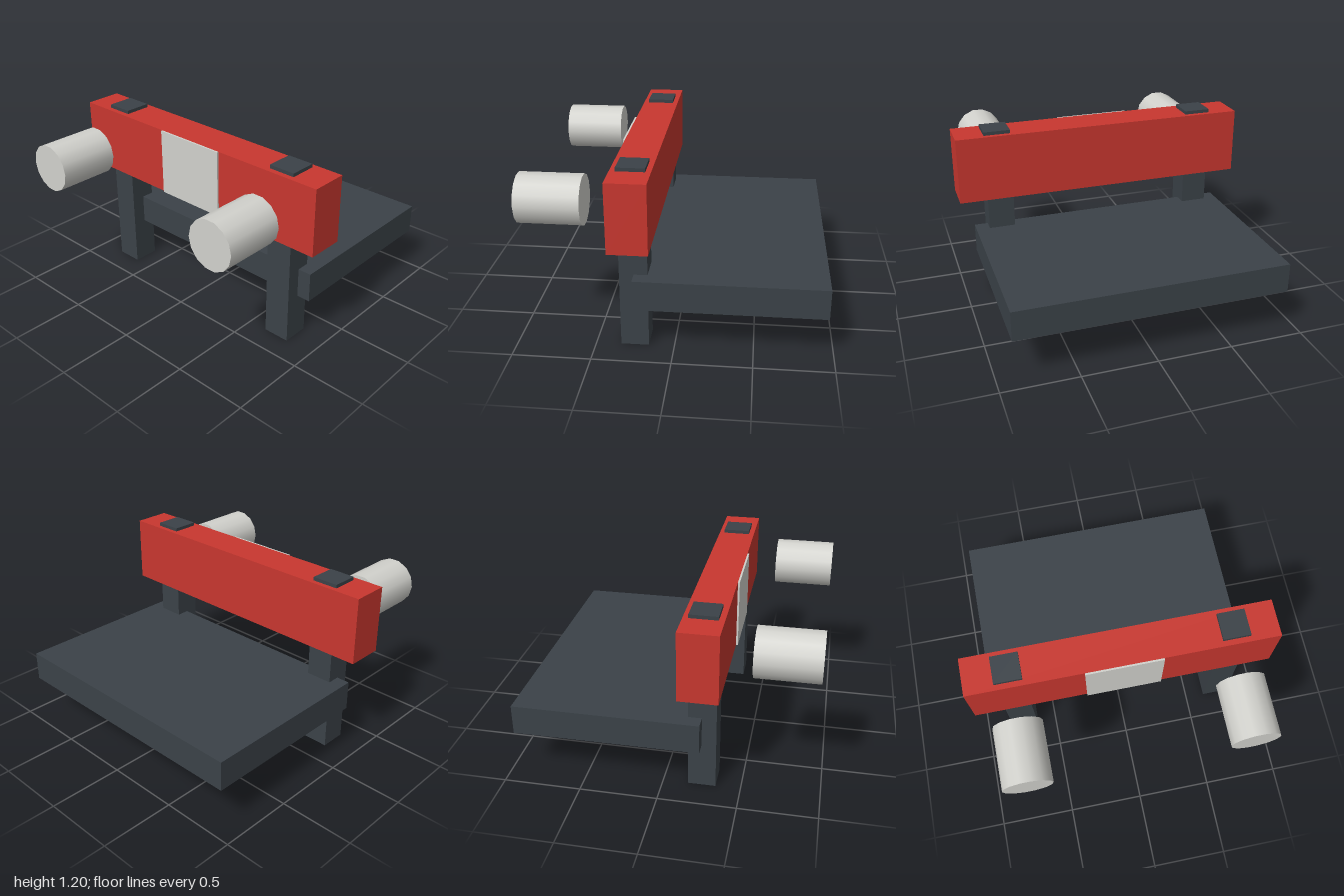
import * as THREE from 'three';

function material(name, color) {
  const m = new THREE.MeshStandardMaterial({ color });
  m.name = name;
  return m;
}

export function createModel() {
  const model = new THREE.Group();
  model.name = 'bumper';
  const red = material('red paint', 0xc8372f);
  const dark = material('dark steel', 0x3b4248);
  const silver = material('light metal', 0xd2d2cd);

  function add(name, geometry, mat, x, y, z) {
    const mesh = new THREE.Mesh(geometry, mat);
    mesh.name = name;
    mesh.position.set(x, y, z);
    model.add(mesh);
  }

  // Box given by its width and its y and z limits
  function box(name, mat, x, width, y0, y1, z0, z1) {
    add(name, new THREE.BoxGeometry(width, y1 - y0, z1 - z0), mat, x, (y0 + y1) / 2, (z0 + z1) / 2);
  }

  // Horizontal deck, cross beam and its centre plate
  box('deck', dark, 0, 1.8, 0.305, 0.503, -0.95, 0.248);
  box('crossBeam', red, 0, 2, 0.73, 1.177, 0.128, 0.376);
  box('centrePlate', silver, 0, 0.5, 0.73, 1.177, 0.376, 0.388);

  // Posts and forward cylinders, mirrored left and right
  for (const [side, s] of [['left', 1], ['right', -1]]) {
    box(side + 'Post', dark, s * 0.72, 0.178, 0, 1.2, 0.162, 0.34);
    const cylinder = new THREE.CylinderGeometry(0.16, 0.16, 0.4, 14);
    cylinder.rotateY(Math.PI / 2).rotateX(Math.PI / 2);
    add(side + 'Cylinder', cylinder, silver, s * 0.72, 0.953, 0.75);
  }
  return model;
}
